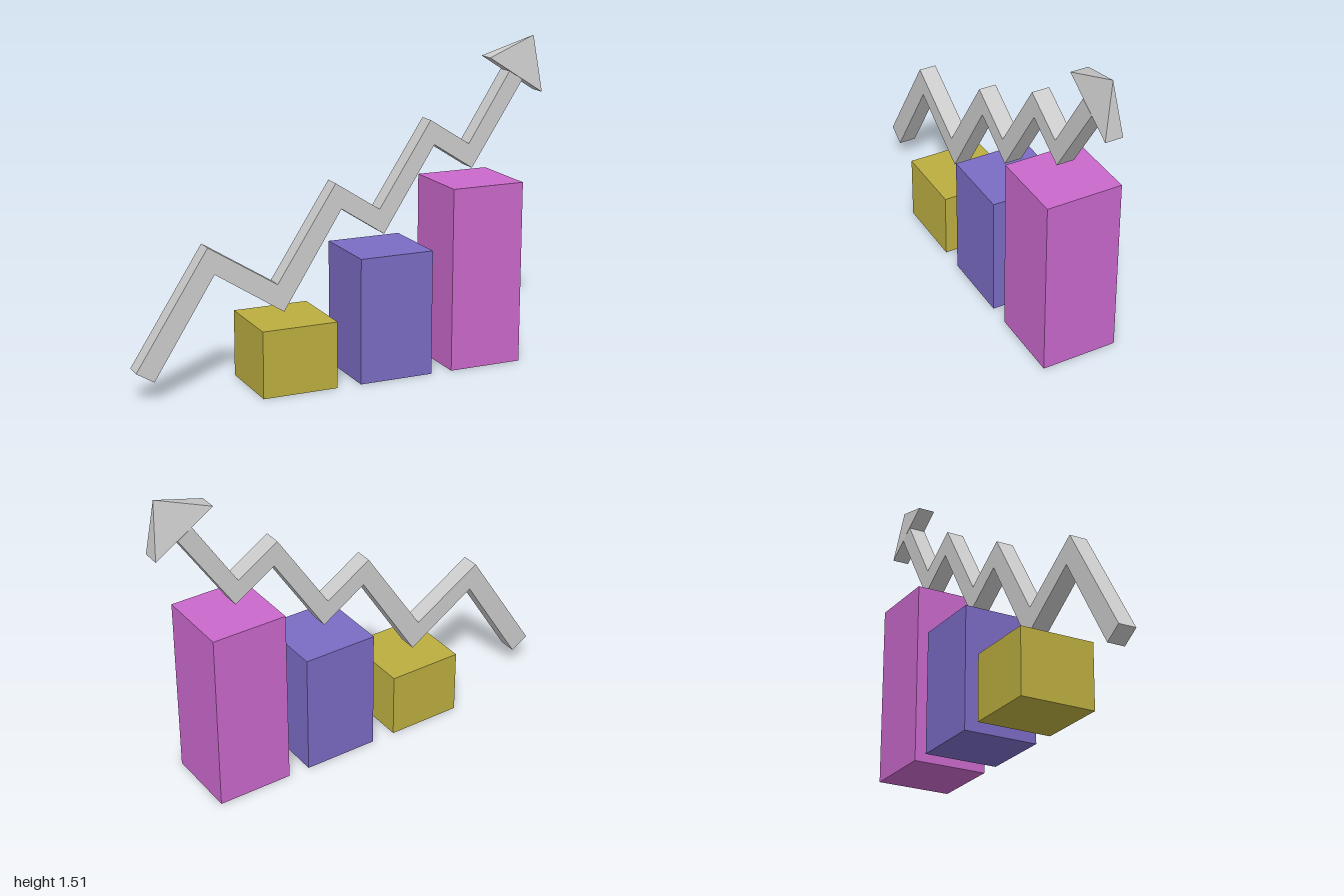
import * as THREE from 'three';

const mat = (color) => new THREE.MeshStandardMaterial({ color, flatShading: true });

export function createModel() {
  const model = new THREE.Group();
  model.name = 'growthChart';

  const add = (parent, name, geometry, material) => {
    const mesh = new THREE.Mesh(geometry, material);
    mesh.name = name;
    parent.add(mesh);
    return mesh;
  };

  // Three bars of rising height: name, centre x, height, colour
  const bars = [
    ['shortBar', -0.287, 0.31, 0xbcae40],
    ['middleBar', 0.185, 0.585, 0x7a6bc3],
    ['tallBar', 0.645, 0.86, 0xc968cb],
  ];
  for (const [name, x, height, color] of bars) {
    const bar = add(model, name, new THREE.BoxGeometry(0.357, height, 0.357), mat(color));
    bar.position.set(x, height / 2, 0);
  }

  // Zigzag arrow, set slightly behind the middle of the bars
  const arrow = new THREE.Group();
  arrow.name = 'trendArrow';
  arrow.position.z = -0.013;
  model.add(arrow);
  const grey = mat(0xcccccc);
  const depth = 0.083;

  // Shaft: upper edge going right, then lower edge coming back
  const upper = [[-1, 0.145], [-0.66, 0.675], [-0.333, 0.47], [-0.05, 0.905],
    [0.168, 0.765], [0.422, 1.155], [0.62, 1.03], [0.826, 1.353]];
  const lower = [[-0.917, 0.095], [-0.63, 0.55], [-0.303, 0.34], [-0.022, 0.785],
    [0.19, 0.648], [0.442, 1.04], [0.638, 0.915], [0.895, 1.31]];
  const outline = [...upper, ...lower.reverse()].map(([x, y]) => new THREE.Vector2(x, y));
  const shaft = new THREE.ExtrudeGeometry(new THREE.Shape(outline), { depth, bevelEnabled: false });
  shaft.translate(0, 0, -depth / 2);
  add(arrow, 'arrowShaft', shaft, grey);

  // Head: flattened four-sided pyramid
  const head = new THREE.ConeGeometry(Math.SQRT1_2, 1, 4);
  head.rotateY(Math.PI / 4);
  head.translate(0, 0.5, 0);
  head.scale(0.328, 0.207, depth);
  head.rotateZ(-0.565);
  head.translate(0.862, 1.332, 0);
  add(arrow, 'arrowHead', head, grey);

  return model;
}
